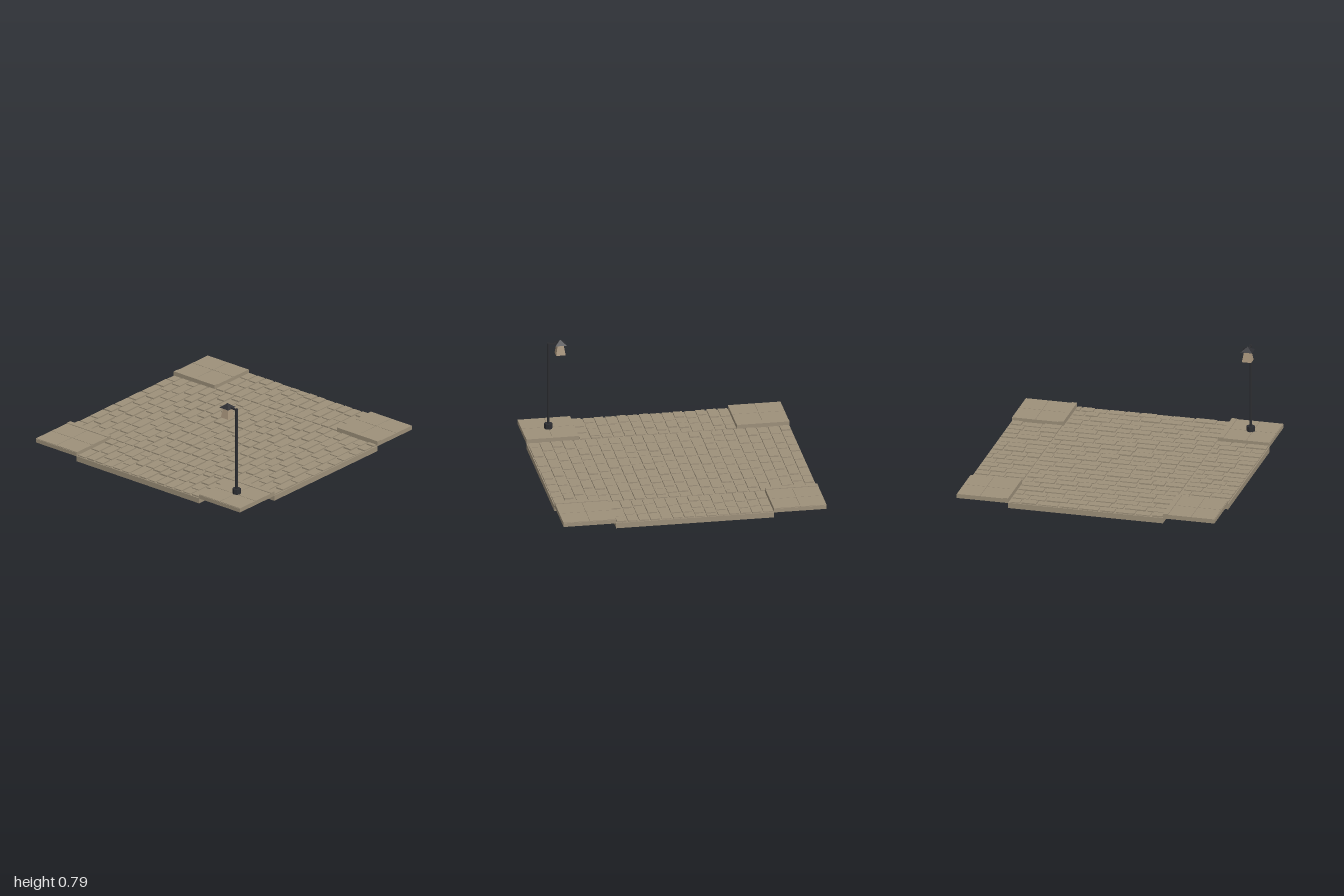
import * as THREE from 'three';
import { mergeGeometries } from 'three/addons/utils/BufferGeometryUtils.js';

const stone = new THREE.MeshStandardMaterial({ color: 0x9d907a });
stone.name = 'stone';
const metal = new THREE.MeshStandardMaterial({ color: 0x2c2d31, flatShading: true });
metal.name = 'dark metal';
const glass = new THREE.MeshStandardMaterial({ color: 0xa8957c, flatShading: true });
glass.name = 'lantern glass';

// Small seeded generator for the paving pattern
let seed = 7;
function rand() {
  seed = (seed * 16807) % 2147483647;
  return seed / 2147483647;
}

// Box given by its limits
function block(x0, x1, y0, y1, z0, z1) {
  return new THREE.BoxGeometry(x1 - x0, y1 - y0, z1 - z0)
    .translate((x0 + x1) / 2, (y0 + y1) / 2, (z0 + z1) / 2);
}

function add(parent, name, geometry, material) {
  const mesh = new THREE.Mesh(geometry, material);
  mesh.name = name;
  parent.add(mesh);
  return mesh;
}

const ROAD = 0.042; // top of the road bed
const SLAB = 0.073; // top of the pavement

// Rows of stones of random length filling a rectangle
function cobbles(x0, x1, z0, z1, rows) {
  const list = [];
  const pitch = (z1 - z0) / rows;
  const gap = 0.016;
  for (let r = 0; r < rows; r++) {
    const z = z0 + r * pitch;
    let x = x0 + 0.008;
    while (x < x1 - 0.03) {
      let end = x + 0.08 + rand() * 0.085;
      if (end > x1 - 0.05) end = x1 - 0.008;
      const top = 0.048 + rand() * 0.006;
      list.push(block(x, end, ROAD - 0.002, top, z + gap / 2, z + pitch - gap / 2));
      x = end + gap;
    }
  }
  return mergeGeometries(list);
}

function createLamp() {
  const lamp = new THREE.Group();
  lamp.name = 'streetLamp';
  lamp.position.set(-0.8, 0, 0.8);
  add(lamp, 'lampFoot', new THREE.CylinderGeometry(0.032, 0.032, 0.04, 8).translate(0, 0.092, 0), metal);
  add(lamp, 'lampPole', new THREE.CylinderGeometry(0.011, 0.011, 0.69, 8).translate(0, 0.42, 0), metal);
  add(lamp, 'lampArm', block(-0.006, 0.006, 0.75, 0.762, -0.09, 0.006), metal);
  // Four-sided lantern, wider at the bottom, under a pyramid roof
  const quarter = Math.PI / 4;
  add(lamp, 'lanternGlass', new THREE.CylinderGeometry(0.031, 0.051, 0.082, 4)
    .rotateY(quarter).translate(0, 0.712, -0.09), glass);
  add(lamp, 'lanternRoof', new THREE.ConeGeometry(0.062, 0.034, 4)
    .rotateY(quarter).translate(0, 0.769, -0.09), metal);
  return lamp;
}

export function createModel() {
  const model = new THREE.Group();
  model.name = 'crossroads';

  // Cross-shaped road bed
  const e = 0.6;
  const cross = new THREE.Shape([
    [-e, -1], [e, -1], [e, -e], [1, -e], [1, e], [e, e],
    [e, 1], [-e, 1], [-e, e], [-1, e], [-1, -e], [-e, -e],
  ].map(([x, y]) => new THREE.Vector2(x, y)));
  add(model, 'roadBed', new THREE.ExtrudeGeometry(cross, { depth: ROAD, bevelEnabled: false })
    .rotateX(-Math.PI / 2), stone);

  // Paving stones on the main road and both side arms
  add(model, 'mainRoadCobbles', cobbles(-e, e, -1, 1, 23), stone);
  add(model, 'rightArmCobbles', cobbles(-1, -e, -e, e, 14), stone);
  add(model, 'leftArmCobbles', cobbles(e, 1, -e, e, 14), stone);

  // Raised corner pavements: slab, four tiles and a kerb
  for (const sx of [-1, 1]) {
    for (const sz of [-1, 1]) {
      const corner = new THREE.Group();
      corner.name = 'cornerPavement';
      corner.position.set(sx * 0.8, 0, sz * 0.8);
      add(corner, 'pavementSlab', block(-0.2, 0.2, 0.04, SLAB - 0.004, -0.2, 0.2), stone);
      const inner = 0.16;
      const tiles = [];
      for (const i of [0, 1]) {
        for (const j of [0, 1]) {
          const a = -inner + i * 0.18;
          const x0 = sx > 0 ? a : -a - 0.176;
          const z0 = -0.2 + j * 0.202;
          tiles.push(block(x0, x0 + 0.176, SLAB - 0.006, SLAB, z0, z0 + 0.198));
        }
      }
      add(corner, 'pavementTiles', mergeGeometries(tiles), stone);
      const kerb = block(-0.02, 0.02, 0.041, 0.078, -0.2, 0.2).translate(-sx * 0.18, 0, 0);
      add(corner, 'kerb', kerb, stone);
      model.add(corner);
    }
  }

  model.add(createLamp());
  return model;
}
